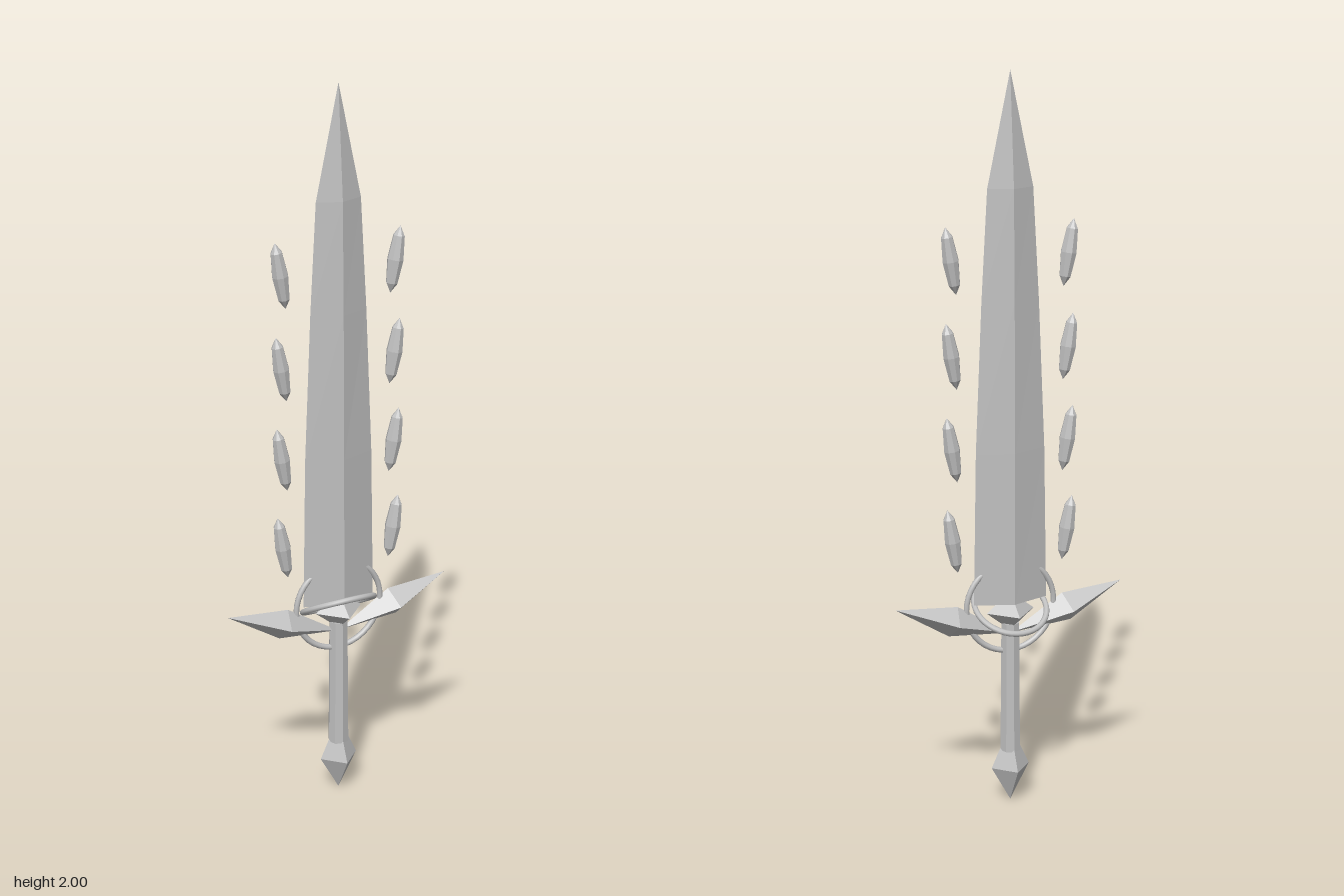
import * as THREE from 'three';

// Diamond cross-sections stacked along y; each row is [y, halfX, halfZ]. Faceted.
function diamondLoft(rows) {
  const ring = ([y, hx, hz]) => [[hx, y, 0], [0, y, hz], [-hx, y, 0], [0, y, -hz]];
  const pos = [];
  for (let i = 0; i < rows.length - 1; i++) {
    const lo = ring(rows[i]), hi = ring(rows[i + 1]);
    for (let k = 0; k < 4; k++) {
      const n = (k + 1) % 4;
      if (rows[i][1] > 0) pos.push(...lo[k], ...hi[k], ...lo[n]);
      if (rows[i + 1][1] > 0) pos.push(...lo[n], ...hi[k], ...hi[n]);
    }
  }
  const geo = new THREE.BufferGeometry();
  geo.setAttribute('position', new THREE.Float32BufferAttribute(pos, 3));
  geo.computeVertexNormals();
  return geo;
}

function faceted(geo) {
  const flat = geo.toNonIndexed();
  flat.computeVertexNormals();
  return flat;
}

export function createModel() {
  const group = new THREE.Group();
  const steel = new THREE.MeshStandardMaterial({ color: 0xc0c0c0 });
  steel.name = 'steel grey';

  const add = (name, geo, x = 0, y = 0) => {
    const mesh = new THREE.Mesh(geo, steel);
    mesh.name = name;
    mesh.position.set(x, y, 0);
    group.add(mesh);
    return mesh;
  };

  // Blade with a central ridge
  add('blade', diamondLoft([
    [0.58, 0, 0], [0.58, 0.105, 0.035], [1.0, 0.098, 0.034],
    [1.4, 0.081, 0.03], [1.7, 0.064, 0.025], [2.0, 0, 0],
  ]));

  // Guard gem, grip and pommel
  add('guardGem', diamondLoft([[-0.055, 0, 0], [0, 0.068, 0.068], [0.055, 0, 0]]), 0, 0.552);
  add('grip', faceted(new THREE.CylinderGeometry(0.026, 0.029, 0.37, 8)), 0, 0.335);
  add('pommel', diamondLoft([
    [0, 0, 0], [0.1, 0.055, 0.055], [0.155, 0.03, 0.03], [0.155, 0, 0],
  ]));

  // Upright ring around the guard, and a smaller one tilted up at the front
  add('uprightRing', new THREE.TorusGeometry(0.127, 0.008, 8, 40), 0, 0.567);
  const tilted = add('tiltedRing', new THREE.TorusGeometry(0.1, 0.008, 8, 40), 0, 0.567);
  tilted.rotation.x = Math.PI / 2 - 0.54;

  const wingGeo = diamondLoft([[-0.172, 0, 0], [0, 0.042, 0.053], [0.172, 0, 0]]);
  const shardGeo = new THREE.SphereGeometry(1, 8, 4);
  shardGeo.scale(0.022, 0.09, 0.022);
  const flatShard = faceted(shardGeo);

  for (const side of [1, -1]) {
    const prefix = side > 0 ? 'left' : 'right';
    // Crystal wings of the guard
    add(prefix + 'Wing', wingGeo, side * 0.165, 0.543).rotation.z = -side * 1.25;
    // Floating shards, leaning outwards
    for (let i = 0; i < 4; i++) {
      add(prefix + 'Shard' + (i + 1), flatShard, side * 0.165, 0.768 + i * 0.251).rotation.z = -side * 0.16;
    }
  }
  return group;
}
